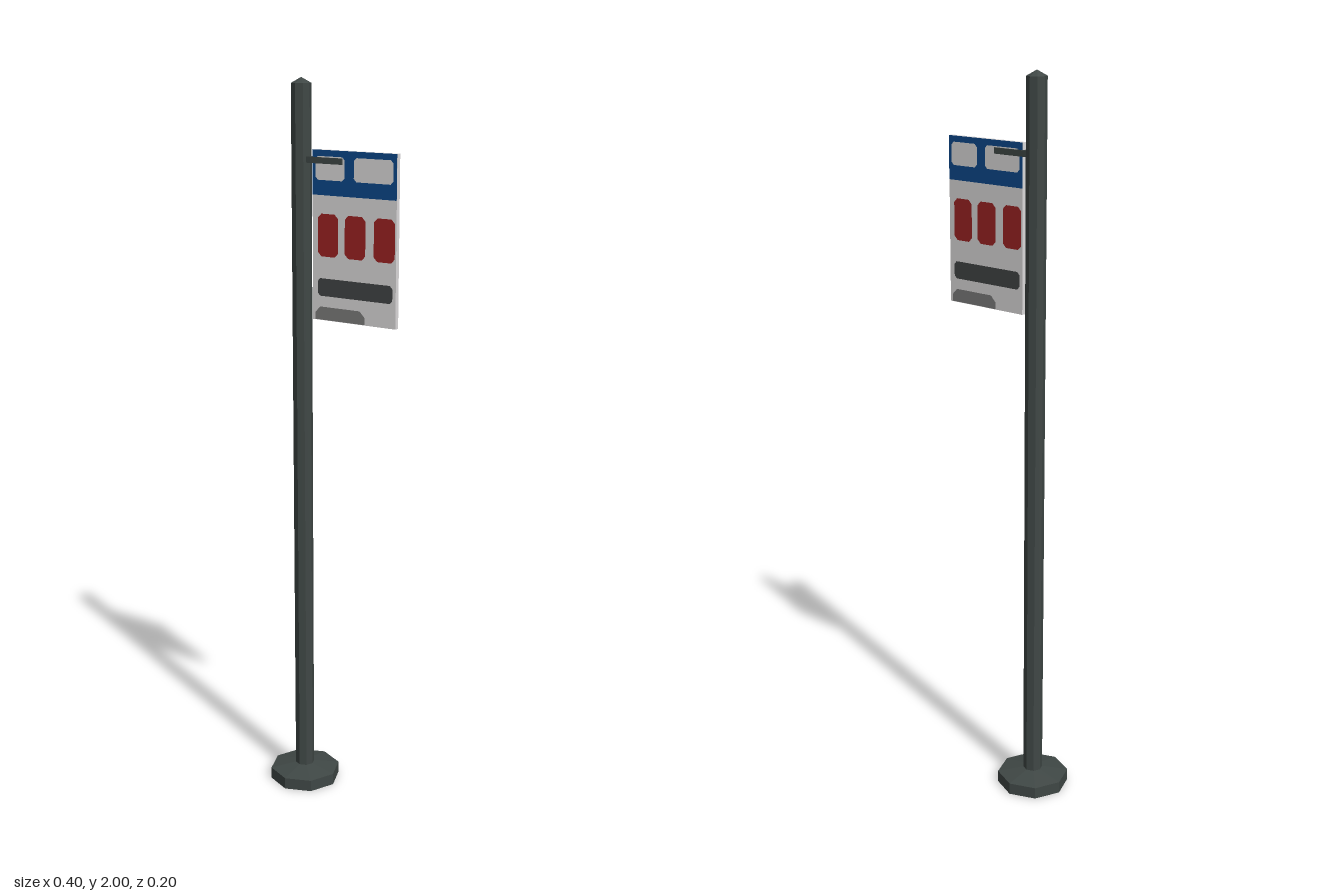
import * as THREE from 'three';

const flat = (color, name, double = false) => {
  const m = new THREE.MeshStandardMaterial({ color, flatShading: true });
  if (double) m.side = THREE.DoubleSide;
  m.name = name;
  return m;
};

export function createModel() {
  const metal = flat(0x3f4745, 'dark metal', true);
  const white = flat(0xdcdadb, 'panel white');
  const blue = flat(0x0b478a, 'header blue');
  const red = flat(0x9c2222, 'badge red');
  const charcoal = flat(0x424445, 'charcoal');
  const grey = flat(0x7c7c7b, 'mid grey');

  const model = new THREE.Group();
  model.name = 'signPost';
  const add = (parent, name, geometry, material, x = 0, y = 0, z = 0) => {
    const mesh = new THREE.Mesh(geometry, material);
    mesh.name = name;
    mesh.position.set(x, y, z);
    parent.add(mesh);
    return mesh;
  };
  const lathe = (points) =>
    new THREE.LatheGeometry(points.map(([r, y]) => new THREE.Vector2(r, y)), 8);

  // Eight-sided foot, hollow underneath, and pole with a pointed cap
  add(model, 'base', lathe([[0.1, 0], [0.1, 0.033], [0.027, 0.046]]), metal, -0.1);
  add(model, 'pole', lathe([[0.027, 0.025], [0.027, 1.985], [0, 2]]), metal, -0.1);

  // Arm that clamps the panel on both faces
  add(model, 'bracket', new THREE.BoxGeometry(0.125, 0.016, 0.023), metal, -0.0275, 1.792);

  // Panel board
  const cx = 0.07, cy = 1.596, w = 0.26, h = 0.446, depth = 0.0136;
  add(model, 'panel', new THREE.BoxGeometry(w, h, depth), white, cx, cy);

  // Thin plate with cut corners: cutTop and cutBottom set the chamfers
  const plate = (x0, x1, y0, y1, cutTop = 0, cutBottom = cutTop) => {
    const s = new THREE.Shape();
    s.moveTo(x0 + cutBottom, y0);
    s.lineTo(x1 - cutBottom, y0);
    s.lineTo(x1, y0 + cutBottom);
    s.lineTo(x1, y1 - cutTop);
    s.lineTo(x1 - cutTop, y1);
    s.lineTo(x0 + cutTop, y1);
    s.lineTo(x0, y1 - cutTop);
    s.lineTo(x0, y0 + cutBottom);
    s.closePath();
    return new THREE.ShapeGeometry(s);
  };

  // The same artwork on each face, the back one turned half round
  for (const [name, turn] of [['frontFace', 0], ['backFace', Math.PI]]) {
    const face = new THREE.Group();
    face.name = name;
    face.position.set(cx, 0, 0);
    face.rotation.y = turn;
    const z = depth / 2 + 0.0006;
    const put = (label, geometry, material, lift = 0) =>
      add(face, label, geometry, material, -cx, 0, z + lift);

    put('header', plate(-0.06, 0.2, 1.703, 1.819), blue);
    put('headerPatchLeft', plate(-0.05, 0.042, 1.742, 1.803, 0.008), white, 0.0008);
    put('headerPatchRight', plate(0.07, 0.19, 1.742, 1.803, 0.008), white, 0.0008);
    for (const x of [-0.043, 0.042, 0.132])
      put('badge', plate(x, x + 0.064, 1.543, 1.655, 0.011), red);
    put('infoBar', plate(-0.044, 0.19, 1.438, 1.485, 0.008), charcoal);
    put('footerBar', plate(-0.052, 0.105, 1.374, 1.409, 0.016, 0), grey);
    model.add(face);
  }
  return model;
}
